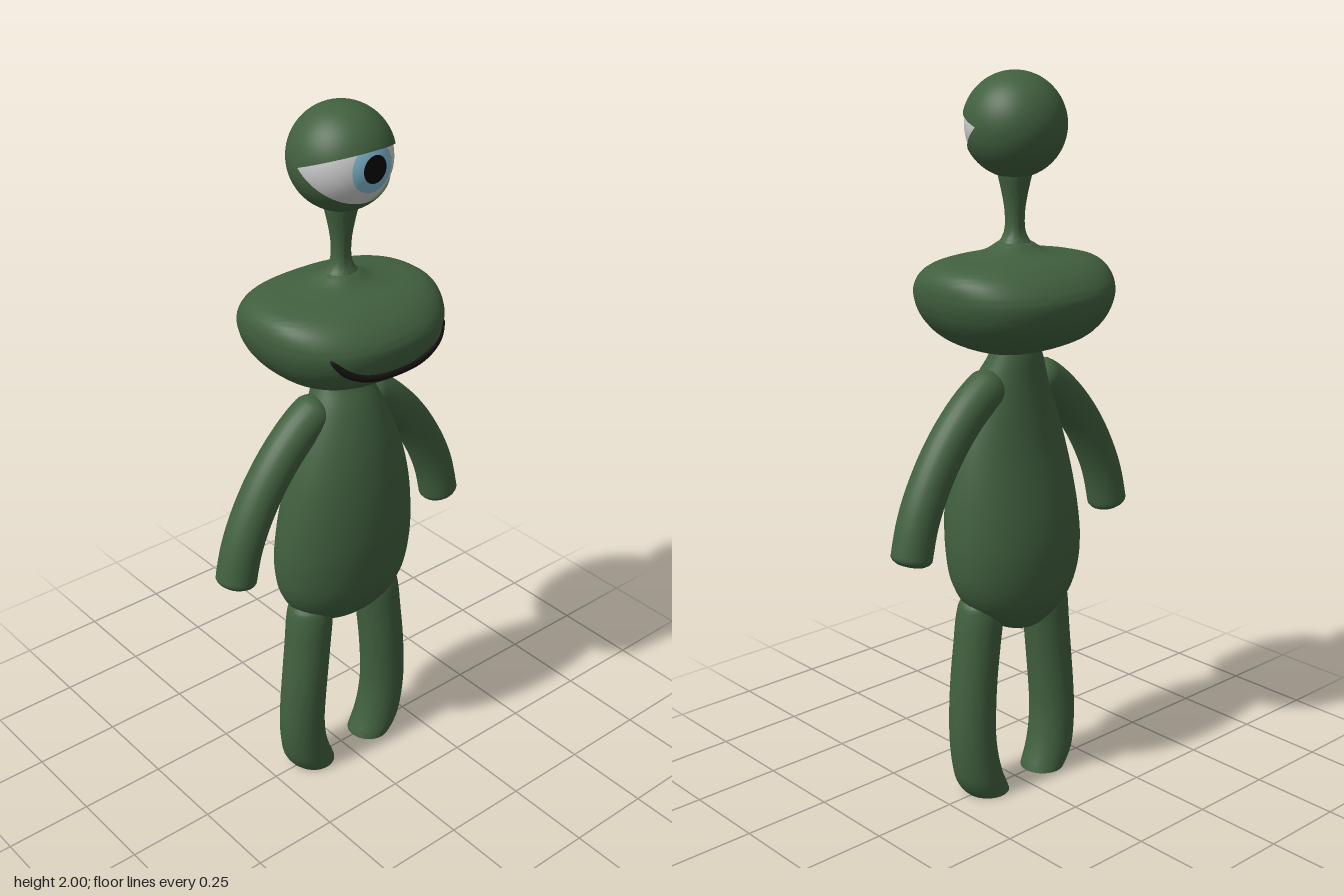
import * as THREE from 'three';
import { mergeVertices, toCreasedNormals } from 'three/addons/utils/BufferGeometryUtils.js';

const paint = (color) => new THREE.MeshStandardMaterial({ color });
const skin = paint(0x41603f);

function part(parent, name, geometry, material) {
  const mesh = new THREE.Mesh(geometry, material);
  mesh.name = name;
  parent.add(mesh);
  return mesh;
}

// Closed stack of superellipse rings; section = [y, halfX, halfZ, centreX, centreZ], bottom to top
function loft(sections, power = 2, steps = 4, sides = 40) {
  const size = new THREE.CatmullRomCurve3(sections.map(([y, rx, rz]) => new THREE.Vector3(rx, y, rz)));
  const mid = new THREE.CatmullRomCurve3(sections.map(([y, , , cx = 0, cz = 0]) => new THREE.Vector3(cx, y, cz)));
  const rings = (sections.length - 1) * steps;
  const pos = [], index = [];
  const round = (v) => Math.sign(v) * Math.abs(v) ** (2 / power);
  for (let i = 0; i <= rings; i++) {
    const s = size.getPoint(i / rings), c = mid.getPoint(i / rings);
    for (let j = 0; j < sides; j++) {
      const a = (j / sides) * Math.PI * 2;
      pos.push(c.x + s.x * round(Math.cos(a)), s.y, c.z + s.z * round(Math.sin(a)));
    }
  }
  const bottom = pos.length / 3, top = bottom + 1;
  for (const s of [sections[0], sections.at(-1)]) pos.push(s[3] ?? 0, s[0], s[4] ?? 0);
  for (let j = 0; j < sides; j++) {
    const k = (j + 1) % sides;
    for (let i = 0; i < rings; i++) {
      const a = i * sides + j, c = i * sides + k;
      index.push(a, a + sides, c, c, a + sides, c + sides);
    }
    index.push(bottom, j, k, top, rings * sides + k, rings * sides + j);
  }
  const geo = new THREE.BufferGeometry();
  geo.setAttribute('position', new THREE.Float32BufferAttribute(pos, 3));
  geo.setIndex(index);
  return toCreasedNormals(geo, 0.9);
}

// Tube with rounded ends, its radius changing from r0 to r1
function limb(points, r0, r1, cap0, cap1) {
  const path = new THREE.CatmullRomCurve3(points.map((p) => new THREE.Vector3(...p)));
  const segments = 80, sides = 24, length = path.getLength();
  const geo = new THREE.TubeGeometry(path, segments, 1, sides);
  const pos = geo.attributes.position, v = new THREE.Vector3();
  const ease = (d, cap) => Math.sqrt(Math.max(0, 1 - Math.max(0, 1 - d / cap) ** 2));
  for (let i = 0; i <= segments; i++) {
    const u = i / segments, c = path.getPointAt(u);
    const r = (r0 + (r1 - r0) * u) * ease(u * length, cap0) * ease((1 - u) * length, cap1);
    for (let j = 0; j <= sides; j++) {
      const n = i * (sides + 1) + j;
      v.fromBufferAttribute(pos, n).sub(c).multiplyScalar(r).add(c);
      pos.setXYZ(n, v.x, v.y, v.z);
    }
  }
  geo.deleteAttribute('uv');
  geo.deleteAttribute('normal');
  const merged = mergeVertices(geo, 1e-5);
  merged.computeVertexNormals();
  return merged;
}

export function createModel() {
  const model = new THREE.Group();
  model.name = 'oneEyedAlien';

  // Pear-shaped body, fuller at the front
  part(model, 'body', loft([
    [0.482, 0.02, 0.02, 0, -0.03], [0.495, 0.065, 0.05, 0, -0.025], [0.53, 0.125, 0.09, 0, -0.015],
    [0.58, 0.175, 0.123, 0, -0.006], [0.64, 0.203, 0.141, 0, 0], [0.72, 0.213, 0.15, 0, 0.005],
    [0.8, 0.211, 0.15, 0, 0.012], [0.9, 0.2, 0.14, 0, 0.02], [1.0, 0.179, 0.124, 0, 0.025],
    [1.1, 0.146, 0.106, 0, 0.023], [1.2, 0.105, 0.083, 0, 0.012], [1.26, 0.078, 0.064, 0, -0.003],
    [1.32, 0.06, 0.05, 0, -0.005],
  ]), skin);

  // Wide head drawn up into the eye stalk
  part(model, 'headAndStalk', loft([
    [1.268, 0.03, 0.025], [1.273, 0.085, 0.07], [1.29, 0.146, 0.127], [1.32, 0.2, 0.186],
    [1.36, 0.238, 0.222], [1.4, 0.259, 0.238], [1.44, 0.268, 0.238], [1.48, 0.264, 0.21],
    [1.506, 0.242, 0.172], [1.519, 0.2, 0.14], [1.527, 0.14, 0.108], [1.54, 0.08, 0.07],
    [1.56, 0.044, 0.042],
  ], 2.35, 5, 56), skin);
  part(model, 'stalk', loft([
    [1.53, 0.1, 0.092], [1.545, 0.066, 0.06], [1.562, 0.042, 0.04], [1.59, 0.028, 0.028],
    [1.64, 0.027, 0.027], [1.69, 0.035, 0.035], [1.73, 0.044, 0.044], [1.76, 0.05, 0.05],
  ]), skin);

  // Smile
  const smile = [[-0.19, 1.432, 0.186], [-0.15, 1.39, 0.206], [-0.09, 1.364, 0.218], [0, 1.356, 0.222],
    [0.09, 1.364, 0.218], [0.15, 1.39, 0.206], [0.19, 1.432, 0.186]];
  part(model, 'mouth', limb(smile, 0.01, 0.01, 0.06, 0.06), paint(0x15120f));

  // Eye: ball, iris and pupil caps, and a lid that leaves a wedge open at the front
  const eye = new THREE.Group();
  eye.name = 'eye';
  eye.position.y = 1.863;
  model.add(eye);
  const deg = Math.PI / 180;
  part(eye, 'eyeball', new THREE.SphereGeometry(0.131, 48, 32), paint(0xdedede));
  const cap = (r, angle) => new THREE.SphereGeometry(r, 40, 10, 0, Math.PI * 2, 0, angle * deg).rotateX(Math.PI / 2);
  part(eye, 'iris', cap(0.1325, 28), paint(0x7fb9d2));
  part(eye, 'pupil', cap(0.1335, 15.5), paint(0x050505));
  const lidMaterial = paint(0x41603f);
  lidMaterial.side = THREE.DoubleSide;
  part(eye, 'eyelids', new THREE.SphereGeometry(0.137, 64, 40, 132 * deg, 298 * deg).rotateZ(-Math.PI / 2), lidMaterial);

  // Arms and legs, mirrored
  for (const [side, s] of [['left', 1], ['right', -1]]) {
    const arm = [[0.06, 1.2], [0.13, 1.158], [0.195, 1.1], [0.26, 1.02], [0.313, 0.93], [0.346, 0.85], [0.372, 0.742]];
    part(model, side + 'Arm', limb(arm.map(([x, y]) => [s * x, y, 0.002]), 0.056, 0.056, 0.05, 0.025), skin);
    part(model, side + 'Leg', loft([
      [0, 0.062, 0.064, 0.108, 0], [0.015, 0.067, 0.065, 0.118, 0.001], [0.05, 0.07, 0.066, 0.135, 0.002],
      [0.1, 0.068, 0.066, 0.147, 0.004], [0.17, 0.066, 0.066, 0.154, 0.007], [0.25, 0.066, 0.066, 0.152, 0.01],
      [0.35, 0.066, 0.066, 0.144, 0.012], [0.45, 0.066, 0.066, 0.133, 0.011], [0.54, 0.066, 0.065, 0.123, 0.009],
      [0.575, 0.06, 0.058, 0.12, 0.008], [0.588, 0.045, 0.043, 0.12, 0.008], [0.593, 0.015, 0.015, 0.12, 0.008],
    ].map(([y, rx, rz, cx, cz]) => [y, rx, rz, s * cx, cz])), skin);
  }
  return model;
}
